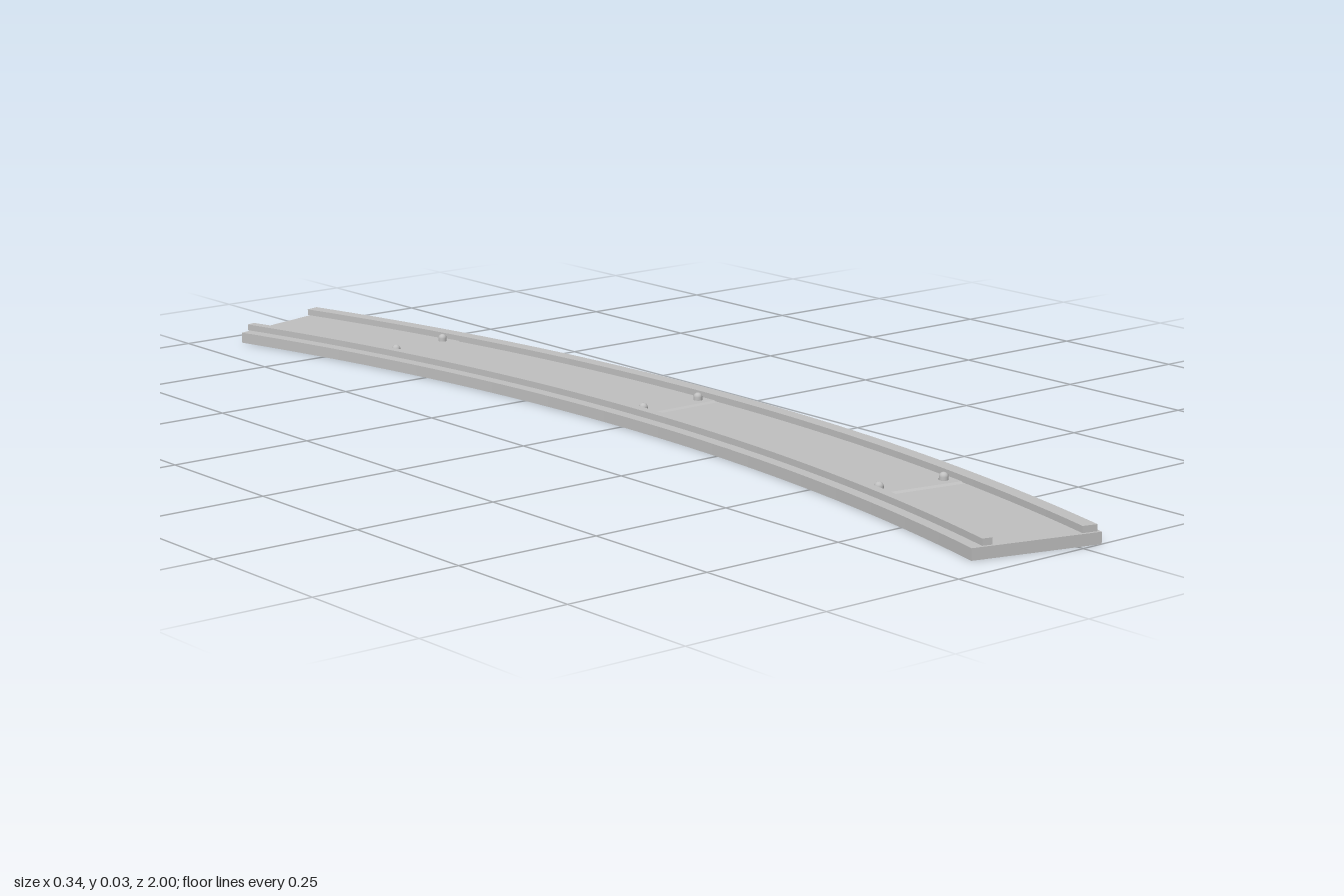
import * as THREE from 'three';

const CX = -3.694;                 // centre of the curve lies far to the right
const HALF = Math.PI / 12;         // half of the swept angle
const SEGMENTS = 40;

// Curved strip between two radii and two heights
function arcStrip(name, r0, r1, y0, y1, material) {
  const shape = new THREE.Shape();
  for (let i = 0; i <= SEGMENTS; i++) {
    const a = -HALF + (2 * HALF * i) / SEGMENTS;
    const x = r1 * Math.cos(a), y = r1 * Math.sin(a);
    if (i === 0) shape.moveTo(x, y); else shape.lineTo(x, y);
  }
  for (let i = SEGMENTS; i >= 0; i--) {
    const a = -HALF + (2 * HALF * i) / SEGMENTS;
    shape.lineTo(r0 * Math.cos(a), r0 * Math.sin(a));
  }
  shape.closePath();
  const geo = new THREE.ExtrudeGeometry(shape, { depth: y1 - y0, bevelEnabled: false });
  geo.rotateX(-Math.PI / 2).translate(CX, y0, 0);
  const mesh = new THREE.Mesh(geo, material);
  mesh.name = name;
  return mesh;
}

export function createModel() {
  const model = new THREE.Group();
  model.name = 'curvedTrack';
  const grey = new THREE.MeshStandardMaterial({ color: 0xc0c0c0 });
  grey.name = 'metal grey';

  // Base bed and the two rails, held just clear of it by the ties
  model.add(arcStrip('base', 3.648, 3.864, 0, 0.0187, grey));
  model.add(arcStrip('innerRail', 3.665, 3.682, 0.0203, 0.031, grey));
  model.add(arcStrip('outerRail', 3.831, 3.856, 0.0203, 0.031, grey));

  // Thin tie plate with sloped long edges
  const section = new THREE.Shape([
    new THREE.Vector2(-0.026, 0), new THREE.Vector2(0.026, 0),
    new THREE.Vector2(0.021, 0.003), new THREE.Vector2(-0.021, 0.003),
  ]);
  const tieGeo = new THREE.ExtrudeGeometry(section, { depth: 0.159, bevelEnabled: false });
  tieGeo.rotateY(Math.PI / 2).translate(3.677, 0.0185, 0);

  // Round-headed bolt
  const profile = [new THREE.Vector2(0.0075, 0), new THREE.Vector2(0.0075, 0.006)];
  for (let i = 1; i <= 5; i++) {
    const a = (i / 5) * Math.PI / 2;
    profile.push(new THREE.Vector2(0.0075 * Math.cos(a), 0.006 + 0.007 * Math.sin(a)));
  }
  const boltGeo = new THREE.LatheGeometry(profile, 16);

  for (const angle of [-0.65 * HALF, 0, 0.65 * HALF]) {
    const crossTie = new THREE.Group();
    crossTie.name = 'crossTie';
    const plate = new THREE.Mesh(tieGeo, grey);
    plate.name = 'tiePlate';
    crossTie.add(plate);
    for (const r of [3.694, 3.812]) {
      const bolt = new THREE.Mesh(boltGeo, grey);
      bolt.name = 'bolt';
      bolt.position.set(r, 0.021, 0);
      crossTie.add(bolt);
    }
    crossTie.position.x = CX;
    crossTie.rotation.y = angle;
    model.add(crossTie);
  }
  return model;
}
